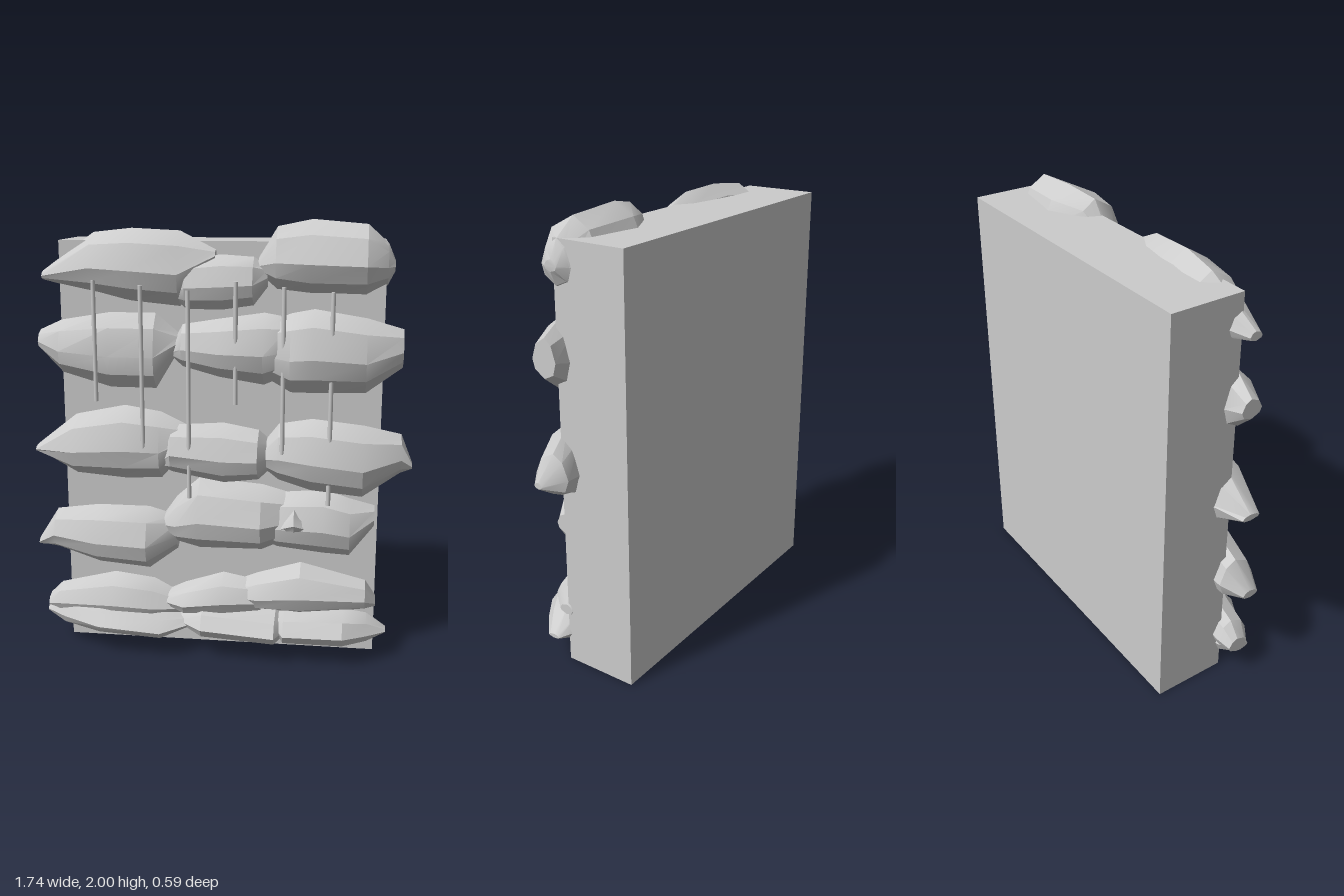
import * as THREE from 'three';
import { toCreasedNormals } from 'three/addons/utils/BufferGeometryUtils.js';

// Boulder section: [height from -1 bottom to 1 top, depth from 0 back to 1 front]
const SECTION = [[0, 0], [0.72, 0.18], [1, 0.45], [0.66, 0.83], [0, 1], [-0.55, 0.9], [-1, 0.5], [-0.7, 0.12]];

export function createModel() {
  const group = new THREE.Group();
  const stone = new THREE.MeshStandardMaterial({ color: 0xcccccc });
  stone.name = 'pale grey stone';

  function add(name, geometry, x = 0, y = 0, z = 0) {
    const mesh = new THREE.Mesh(geometry, stone);
    mesh.name = name;
    mesh.position.set(x, y, z);
    group.add(mesh);
  }

  // Faceted boulder lofted along x; each station is [x, bottom, top, back, front]
  function rock(name, ...stations) {
    const n = SECTION.length, pos = [], index = [];
    stations.forEach(([x, bottom, top, back, front]) => {
      const mid = bottom + (top - bottom) * 0.44;
      SECTION.forEach(([h, d]) => pos.push(
        x, mid + h * (h > 0 ? top - mid : mid - bottom), back + d * (front - back)));
    });
    for (let s = 0; s < stations.length - 1; s++) {
      for (let i = 0; i < n; i++) {
        const a = s * n + i, b = s * n + (i + 1) % n;
        index.push(a, b, a + n, b, b + n, a + n);
      }
    }
    const last = (stations.length - 1) * n;
    for (let i = 1; i < n - 1; i++) {
      index.push(0, i + 1, i, last, last + i, last + i + 1);
    }
    const g = new THREE.BufferGeometry();
    g.setAttribute('position', new THREE.Float32BufferAttribute(pos, 3));
    g.setIndex(index);
    add(name, toCreasedNormals(g, 0.5));
  }

  // Backing slab
  add('wallSlab', new THREE.BoxGeometry(1.46, 1.905, 0.34), -0.005, 0.9525, -0.125);

  // Top row
  rock('topLeftRock', [-0.81, 1.73, 1.77, 0.02, 0.08], [-0.58, 1.67, 1.94, -0.1, 0.15],
    [-0.4, 1.64, 1.96, -0.08, 0.18], [-0.18, 1.62, 1.95, -0.05, 0.17], [-0.02, 1.82, 1.87, 0.03, 0.1]);
  rock('topMiddleRock', [-0.2, 1.65, 1.7, 0.02, 0.1], [-0.15, 1.61, 1.83, 0, 0.16],
    [0.01, 1.61, 1.85, 0, 0.18], [0.15, 1.63, 1.84, 0, 0.16], [0.21, 1.71, 1.8, 0.02, 0.1]);
  rock('topRightRock', [0.17, 1.77, 1.84, 0, 0.09], [0.25, 1.7, 1.97, -0.07, 0.16],
    [0.4, 1.67, 2, -0.16, 0.19], [0.64, 1.67, 1.98, -0.12, 0.17], [0.73, 1.72, 1.9, -0.04, 0.1],
    [0.76, 1.78, 1.83, 0, 0.06]);

  // Second row
  rock('secondLeftRock', [-0.84, 1.41, 1.5, -0.02, 0.08], [-0.73, 1.31, 1.55, -0.02, 0.14],
    [-0.5, 1.25, 1.59, 0, 0.165], [-0.29, 1.25, 1.59, 0, 0.17], [-0.19, 1.42, 1.5, 0.02, 0.1]);
  rock('secondMiddleRock', [-0.22, 1.39, 1.45, 0.02, 0.09], [-0.17, 1.35, 1.54, 0, 0.14],
    [0, 1.31, 1.57, 0, 0.19], [0.2, 1.28, 1.6, 0, 0.2], [0.3, 1.32, 1.58, 0, 0.16]);
  rock('secondRightRock', [0.15, 1.34, 1.53, 0.02, 0.12], [0.32, 1.25, 1.6, 0, 0.21],
    [0.42, 1.25, 1.62, 0, 0.22], [0.65, 1.25, 1.58, -0.02, 0.19], [0.81, 1.36, 1.53, -0.02, 0.1]);

  // Third row
  rock('thirdLeftRock', [-0.87, 0.93, 0.96, 0, 0.09], [-0.68, 0.83, 1.11, -0.06, 0.17],
    [-0.44, 0.82, 1.165, -0.02, 0.19], [-0.27, 0.83, 1.14, 0, 0.18], [-0.12, 1, 1.06, 0.02, 0.1]);
  rock('thirdMiddleRock', [-0.28, 0.88, 0.93, 0.02, 0.12], [-0.22, 0.86, 1.08, 0, 0.18],
    [0.02, 0.82, 1.1, 0, 0.21], [0.18, 0.84, 1.07, 0, 0.2], [0.25, 0.9, 1, 0.02, 0.1]);
  rock('thirdRightRock', [0.17, 0.91, 0.97, 0.02, 0.12], [0.27, 0.84, 1.1, 0, 0.18],
    [0.42, 0.8, 1.13, 0, 0.22], [0.65, 0.77, 1.1, -0.03, 0.2], [0.82, 0.87, 1.05, -0.07, 0.1],
    [0.87, 0.9, 0.93, 0.03, 0.07]);

  // Fourth row
  rock('fourthLeftRock', [-0.86, 0.48, 0.52, 0.05, 0.13], [-0.78, 0.46, 0.65, -0.02, 0.16],
    [-0.57, 0.41, 0.69, 0, 0.22], [-0.33, 0.39, 0.69, 0, 0.22], [-0.2, 0.48, 0.64, 0.02, 0.12]);
  rock('fourthMiddleRock', [-0.27, 0.58, 0.64, 0.02, 0.12], [-0.2, 0.52, 0.74, 0, 0.17],
    [-0.09, 0.5, 0.84, 0, 0.21], [0.2, 0.51, 0.82, 0, 0.24], [0.38, 0.58, 0.76, 0.02, 0.14]);
  rock('fourthRightRock', [0.12, 0.58, 0.74, 0.02, 0.12], [0.27, 0.52, 0.78, 0, 0.2],
    [0.48, 0.5, 0.8, 0, 0.21], [0.6, 0.49, 0.76, 0, 0.19], [0.71, 0.62, 0.72, 0, 0.1]);
  rock('smallChip', [0.29, 0.62, 0.66, 0.1, 0.2], [0.35, 0.61, 0.73, 0.1, 0.23], [0.42, 0.62, 0.65, 0.1, 0.19]);

  // Fifth row
  rock('fifthLeftRock', [-0.83, 0.15, 0.22, 0.02, 0.12], [-0.77, 0.14, 0.28, 0, 0.16],
    [-0.5, 0.12, 0.355, 0, 0.21], [-0.31, 0.12, 0.33, 0, 0.2], [-0.13, 0.17, 0.22, 0.02, 0.12]);
  rock('fifthMiddleRock', [-0.27, 0.21, 0.26, 0.02, 0.14], [-0.16, 0.17, 0.32, 0, 0.21],
    [0.02, 0.17, 0.38, 0, 0.22], [0.2, 0.19, 0.34, 0.02, 0.17]);
  rock('fifthRightRock', [0.02, 0.25, 0.31, 0.02, 0.14], [0.18, 0.2, 0.38, 0, 0.19],
    [0.38, 0.19, 0.445, 0, 0.21], [0.68, 0.22, 0.36, 0, 0.15], [0.73, 0.23, 0.28, 0.02, 0.09]);

  // Bottom row
  rock('bottomLeftRock', [-0.83, 0.14, 0.18, 0.05, 0.13], [-0.74, 0.08, 0.22, 0.02, 0.17],
    [-0.55, 0.08, 0.22, 0.01, 0.27], [-0.26, 0.07, 0.2, 0.01, 0.28], [-0.12, 0.12, 0.17, 0.02, 0.18]);
  rock('bottomMiddleRock', [-0.19, 0.12, 0.18, 0.02, 0.16], [-0.07, 0.08, 0.24, 0.01, 0.27],
    [0.27, 0.07, 0.22, 0.01, 0.29], [0.32, 0.1, 0.18, 0.02, 0.18]);
  rock('bottomRightRock', [0.26, 0.13, 0.19, 0.02, 0.18], [0.31, 0.07, 0.23, 0.01, 0.27],
    [0.58, 0.07, 0.24, 0.01, 0.275], [0.69, 0.08, 0.21, 0.01, 0.2], [0.78, 0.12, 0.14, 0.06, 0.12]);

  // Thin hanging rods: [x, bottom, top]
  [[-0.55, 1.2, 1.74], [-0.34, 0.97, 1.72], [-0.13, 0.76, 1.7],
    [0.08, 1.2, 1.74], [0.29, 0.98, 1.72], [0.5, 0.75, 1.7]].forEach(([x, low, high]) =>
    add('rod', new THREE.CylinderGeometry(0.01, 0.01, high - low, 8), x, (low + high) / 2, 0.17));

  return group;
}
